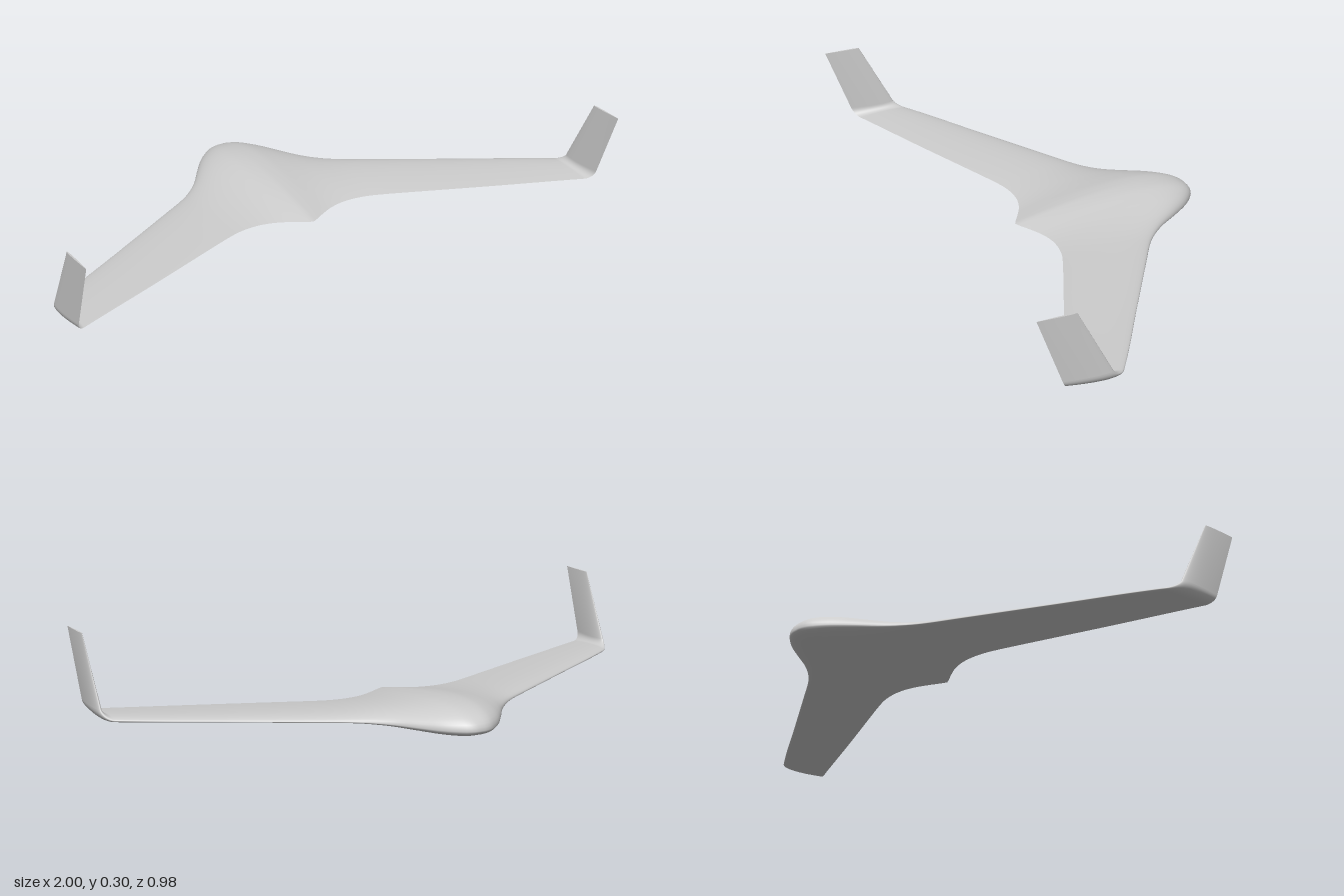
import * as THREE from 'three';

const material = new THREE.MeshStandardMaterial({ color: 0xcccccc, side: THREE.DoubleSide });

// Span path: flat wing to BEND, quarter arc of RADIUS, then upright winglet
const BEND = 0.96, RADIUS = 0.03;
const ARC_END = BEND + RADIUS * Math.PI / 2;
const TIP = ARC_END + 0.231;
const CHORD_STEPS = 28;

// Stations: [span, leading z, trailing z, thickness above, thickness below, base y]
const stations = [
  [0, -0.49, 0.152, 0.066, 0.035, 0.035],
  [0.02, -0.489, 0.142, 0.0655, 0.0348, 0.035],
  [0.05, -0.476, 0.124, 0.063, 0.033, 0.035],
  [0.1, -0.432, 0.098, 0.053, 0.027, 0.035],
  [0.15, -0.368, 0.084, 0.041, 0.0205, 0.0355],
  [0.2, -0.299, 0.082, 0.031, 0.015, 0.036],
  [0.25, -0.246, 0.09, 0.024, 0.0115, 0.0365],
  [0.3, -0.206, 0.107, 0.02, 0.0095, 0.037],
  [0.4, -0.145, 0.148, 0.0165, 0.009, 0.0375],
  [0.65, 0.005, 0.252, 0.0125, 0.0085, 0.038],
  [BEND, 0.192, 0.378, 0.01, 0.009, 0.039],
  [ARC_END, 0.24, 0.402, 0.01, 0.01, 0.039],
  [TIP, 0.36, 0.487, 0.003, 0.003, 0.039],
];

// Smooth cubic interpolation of every station column
function sample(s) {
  let k = 0;
  while (k < stations.length - 2 && s > stations[k + 1][0]) k++;
  const slope = (i, c) => {
    const a = stations[Math.max(i - 1, 0)], b = stations[Math.min(i + 1, stations.length - 1)];
    return (b[c] - a[c]) / (b[0] - a[0]);
  };
  const p = stations[k], q = stations[k + 1], h = q[0] - p[0], t = (s - p[0]) / h;
  // The winglet edges are straight
  if (k === stations.length - 2) return p.map((v, c) => v + (q[c] - v) * t);
  const t2 = t * t, t3 = t2 * t;
  return p.map((v, c) => (2 * t3 - 3 * t2 + 1) * v + (t3 - 2 * t2 + t) * h * slope(k, c)
    + (3 * t2 - 2 * t3) * q[c] + (t3 - t2) * h * slope(k + 1, c));
}

// Symmetric airfoil thickness, 1 at its thickest point
const airfoil = u => Math.max(0, 10 * (0.2969 * Math.sqrt(u) - 0.126 * u - 0.3516 * u * u
  + 0.2843 * u ** 3 - 0.1036 * u ** 4));

// Closed airfoil section: trailing edge, over the top, leading edge, underneath
function section(s, side) {
  const [, zLead, zTrail, above, below, base] = sample(s);
  const angle = THREE.MathUtils.clamp((s - BEND) / RADIUS, 0, Math.PI / 2);
  const rise = Math.max(0, s - ARC_END);
  const x = Math.min(s, BEND) + RADIUS * Math.sin(angle) + 0.03 * rise;
  const y = base + RADIUS * (1 - Math.cos(angle)) + rise;
  const points = [];
  for (let j = 0; j <= 2 * CHORD_STEPS; j++) {
    const u = (1 + Math.cos(Math.PI * j / CHORD_STEPS)) / 2;
    const off = airfoil(u) * (j <= CHORD_STEPS ? above : -below);
    points.push([side * (x - Math.sin(angle) * off), y + Math.cos(angle) * off,
      zLead + (zTrail - zLead) * u]);
  }
  return points;
}

function buildMesh(name, points, index) {
  const geometry = new THREE.BufferGeometry();
  geometry.setAttribute('position', new THREE.Float32BufferAttribute(points.flat(), 3));
  geometry.setIndex(index);
  geometry.computeVertexNormals();
  const mesh = new THREE.Mesh(geometry, material);
  mesh.name = name;
  return mesh;
}

// Skin over sections ordered from -x to +x
function loft(name, sections) {
  const n = sections[0].length, index = [];
  for (let i = 0; i < sections.length - 1; i++) {
    for (let j = 0; j < n - 1; j++) {
      const a = i * n + j, b = a + n;
      index.push(a, b, a + 1, b, b + 1, a + 1);
    }
  }
  return buildMesh(name, sections.flat(), index);
}

// Flat lid closing the winglet tip
function tipCap(name, side) {
  const points = section(TIP, side), last = points.length - 1, index = [];
  for (let j = 0; j < CHORD_STEPS; j++) {
    const quad = [j, last - j, j + 1, last - j, last - j - 1, j + 1];
    index.push(...(side > 0 ? quad : quad.reverse()));
  }
  return buildMesh(name, points, index);
}

const steps = (from, to, n) => Array.from({ length: n + 1 }, (_, i) => from + (to - from) * i / n);

export function createModel() {
  const model = new THREE.Group();
  model.name = 'flyingWing';

  // Blended body and wing, including the curved wing tips
  const half = [...steps(0, BEND, 80), ...steps(BEND, ARC_END, 12).slice(1)];
  model.add(loft('blendedWingBody', [
    ...half.slice(1).reverse().map(s => section(s, -1)),
    ...half.map(s => section(s, 1)),
  ]));

  // Upright swept winglets
  for (const [label, side] of [['left', 1], ['right', -1]]) {
    const spans = steps(ARC_END, TIP, 8);
    if (side < 0) spans.reverse();
    const winglet = new THREE.Group();
    winglet.name = label + 'Winglet';
    winglet.add(loft(label + 'WingletSkin', spans.map(s => section(s, side))));
    winglet.add(tipCap(label + 'WingletTip', side));
    model.add(winglet);
  }
  return model;
}
